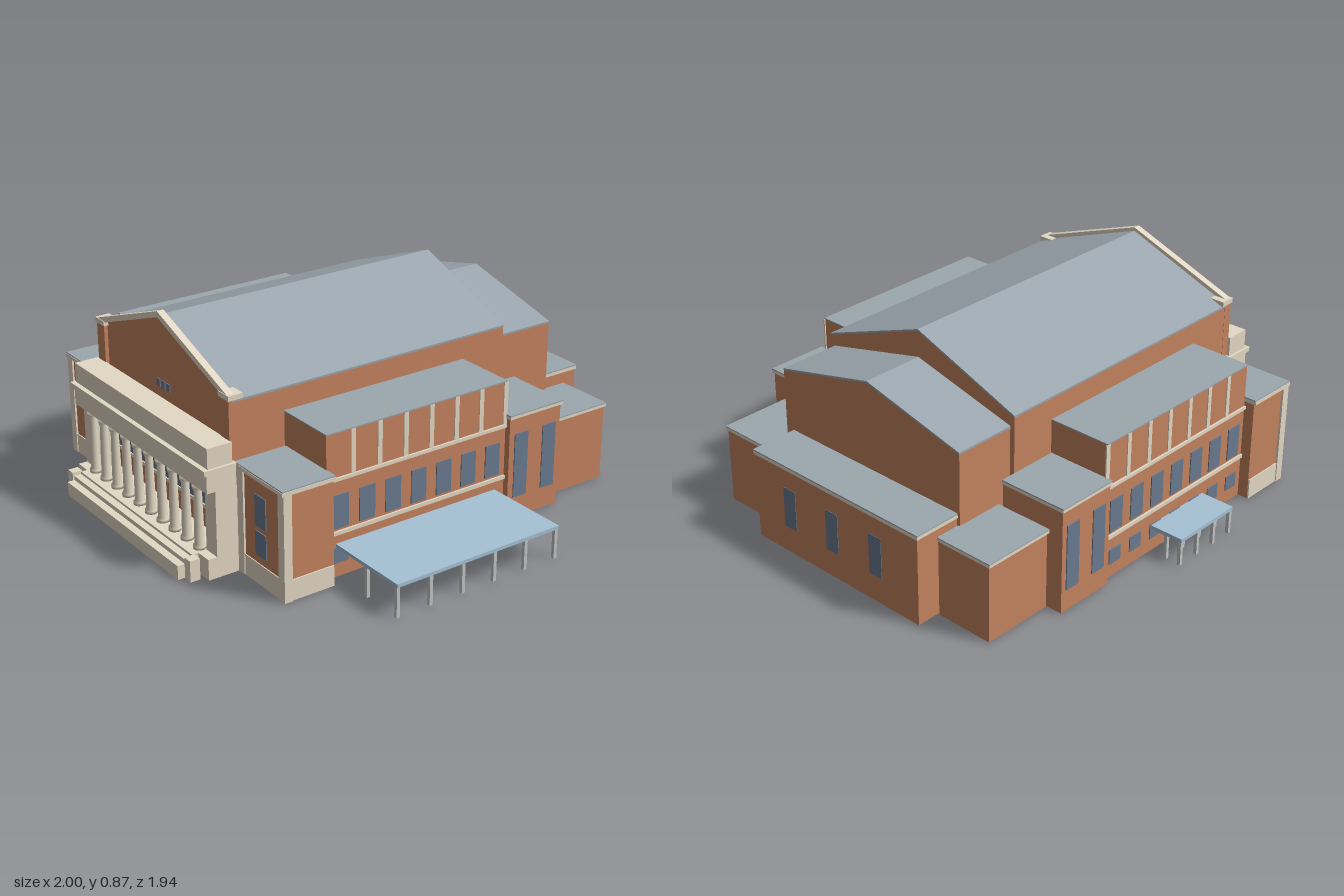
import * as THREE from 'three';

const mat = (name, color) => {
  const m = new THREE.MeshStandardMaterial({ color, side: THREE.DoubleSide });
  m.name = name;
  return m;
};

// Leaves out the triangles that lie on the ground, so the building is an open shell
const withoutFloor = (geo) => {
  const flat = geo.index ? geo.toNonIndexed() : geo;
  const pos = flat.attributes.position, nor = flat.attributes.normal;
  const p = [], n = [];
  for (let i = 0; i < pos.count; i += 3) {
    if (Math.max(pos.getY(i), pos.getY(i + 1), pos.getY(i + 2)) < 1e-4) continue;
    for (let k = i; k < i + 3; k++) {
      p.push(pos.getX(k), pos.getY(k), pos.getZ(k));
      n.push(nor.getX(k), nor.getY(k), nor.getZ(k));
    }
  }
  const out = new THREE.BufferGeometry();
  out.setAttribute('position', new THREE.Float32BufferAttribute(p, 3));
  out.setAttribute('normal', new THREE.Float32BufferAttribute(n, 3));
  return out;
};

export function createModel() {
  const model = new THREE.Group();
  model.name = 'hall';
  const brick = mat('brick', 0xc5835f), stone = mat('stone', 0xe4d9c5), roof = mat('slate roof', 0x9ca7af);
  const glass = mat('window glass', 0x6a7b90), blue = mat('canopy blue', 0xa6c2d6), metal = mat('post metal', 0xc4c6c6);
  const CX = -0.11; // axis of symmetry of the hall

  const add = (name, geo, material) => {
    const mesh = new THREE.Mesh(geo, material);
    mesh.name = name;
    model.add(mesh);
    return mesh;
  };
  // Box from its limits
  const box = (name, m, xa, xb, y0, y1, z0, z1) => {
    const geo = new THREE.BoxGeometry(Math.abs(xb - xa), y1 - y0, z1 - z0);
    geo.translate((xa + xb) / 2, (y0 + y1) / 2, (z0 + z1) / 2);
    return add(name, withoutFloor(geo), m);
  };
  // Box on both flanks, x measured outward from the axis
  const pair = (name, m, u0, u1, ...rest) => {
    for (const s of [-1, 1]) box(name, m, CX + s * u0, CX + s * u1, ...rest);
  };
  // Outline in x-y (x from the axis) pulled along z
  const prism = (name, m, points, z0, z1) => {
    const shape = new THREE.Shape(points.map(([x, y]) => new THREE.Vector2(CX + x, y)));
    const geo = new THREE.ExtrudeGeometry(shape, { depth: z1 - z0, bevelEnabled: false });
    geo.translate(0, 0, z0);
    return add(name, withoutFloor(geo), m);
  };
  const chevron = (w, eave, ridge, t) =>
    [[-w, eave - t], [0, ridge - t], [w, eave - t], [w, eave], [0, ridge], [-w, eave]];
  const gabled = (name, w, eave, ridge, z0, z1) => {
    prism(name + 'Walls', brick, [[-w, 0], [w, 0], [w, eave - 0.008], [0, ridge - 0.008], [-w, eave - 0.008]], z0, z1);
    prism(name + 'Roof', roof, chevron(w + 0.001, eave, ridge, 0.008), z0 - 0.001, z1);
  };

  // Main hall and lower rear hall
  gabled('mainHall', 0.48, 0.678, 0.857, -0.507, 0.752);
  gabled('rearHall', 0.46, 0.63, 0.743, -0.767, -0.507);

  // Front gable: corner piers, sloping coping, returns and small windows
  pair('gablePier', brick, 0.425, 0.481, 0.44, 0.68, 0.73, 0.768);
  prism('gableCoping', stone, chevron(0.48, 0.697, 0.872, 0.024), 0.74, 0.769);
  pair('copingReturn', stone, 0.418, 0.486, 0.68, 0.7, 0.71, 0.772);
  for (const i of [-1, 0, 1])
    box('gableWindow', glass, CX + i * 0.036 - 0.012, CX + i * 0.036 + 0.012, 0.556, 0.588, 0.75, 0.756);

  // Rear block
  box('rearBlock', brick, -0.555, 0.307, 0, 0.36, -0.964, -0.767);
  box('rearCornice', stone, -0.56, 0.312, 0.36, 0.374, -0.969, -0.767);
  box('rearBlockRoof', roof, -0.56, 0.312, 0.374, 0.379, -0.969, -0.767);
  for (const x of [-0.338, -0.11, 0.12])
    box('rearWindow', glass, x - 0.032, x + 0.032, 0.11, 0.28, -0.966, -0.962);

  // Rear corner blocks
  pair('cornerBlock', brick, 0.452, 0.697, 0, 0.315, -0.868, -0.57);
  pair('cornerCornice', stone, 0.452, 0.704, 0.315, 0.327, -0.874, -0.565);
  pair('cornerRoof', roof, 0.452, 0.704, 0.327, 0.331, -0.874, -0.565);

  // Stair blocks with tall windows
  pair('stairBlock', brick, 0.48, 0.765, 0, 0.427, -0.566, -0.31);
  pair('stairCornice', stone, 0.482, 0.772, 0.427, 0.439, -0.572, -0.306);
  pair('stairRoof', roof, 0.482, 0.772, 0.439, 0.444, -0.572, -0.306);
  for (const z of [-0.369, -0.51]) pair('stairWindow', glass, 0.762, 0.769, 0.09, 0.36, z - 0.033, z + 0.033);

  // Side wings: bands, pilaster strips and two rows of windows
  pair('wing', brick, 0.479, 0.742, 0, 0.578, -0.307, 0.53);
  pair('wingRoof', roof, 0.479, 0.745, 0.578, 0.583, -0.307, 0.532);
  pair('wingUpperBand', stone, 0.74, 0.75, 0.39, 0.403, -0.307, 0.532);
  pair('wingLowerBand', stone, 0.74, 0.75, 0.173, 0.188, -0.307, 0.532);
  for (let i = 0; i < 7; i++) {
    const z = 0.468 - i * 0.1187, zp = 0.412 - i * 0.119;
    pair('wingPilaster', stone, 0.74, 0.746, 0.403, 0.578, zp - 0.01, zp + 0.01);
    pair('wingUpperWindow', glass, 0.74, 0.746, 0.198, 0.333, z - 0.035, z + 0.035);
    pair('wingLowerWindow', glass, 0.74, 0.746, 0.057, 0.12, z - 0.032, z + 0.032);
  }

  // Front towers
  pair('tower', brick, 0.48, 0.787, 0, 0.425, 0.53, 0.742);
  pair('towerBase', stone, 0.482, 0.792, 0, 0.084, 0.532, 0.746);
  pair('towerOuterQuoin', stone, 0.758, 0.796, 0, 0.425, 0.715, 0.75);
  pair('towerInnerQuoin', stone, 0.49, 0.533, 0, 0.425, 0.715, 0.75);
  pair('towerCornice', stone, 0.487, 0.797, 0.424, 0.439, 0.527, 0.756);
  pair('towerRoof', roof, 0.487, 0.795, 0.439, 0.444, 0.527, 0.754);
  for (const [y0, y1] of [[0.235, 0.36], [0.117, 0.215]])
    pair('towerWindow', glass, 0.602, 0.672, y0, y1, 0.74, 0.746);

  // Portico: platform, side piers, entablature and attic
  box('platform', stone, CX - 0.495, CX + 0.495, 0, 0.085, 0.75, 0.88);
  pair('porticoPier', stone, 0.422, 0.495, 0.085, 0.35, 0.74, 0.842);
  box('entablature', stone, CX - 0.495, CX + 0.495, 0.35, 0.425, 0.752, 0.877);
  box('porticoCornice', stone, CX - 0.503, CX + 0.503, 0.424, 0.444, 0.752, 0.89);
  box('attic', stone, CX - 0.492, CX + 0.492, 0.444, 0.525, 0.765, 0.87);

  // Colonnade with windows in the bays behind
  const profile = [[0, 0], [0.025, 0], [0.025, 0.012], [0.019, 0.02], [0.0185, 0.1], [0.0155, 0.235], [0.022, 0.25], [0.022, 0.265], [0, 0.265]];
  const columnGeo = new THREE.LatheGeometry(profile.map(([r, y]) => new THREE.Vector2(r, y)), 16);
  for (let i = 0; i < 10; i++) {
    const x = -0.505 + i * 0.0877;
    add('column', columnGeo, stone).position.set(x, 0.085, 0.855);
    if (i < 9) box('porticoWindow', glass, x + 0.009, x + 0.079, 0.187, 0.33, 0.75, 0.757);
  }
  box('porticoSill', stone, CX - 0.39, CX + 0.39, 0.172, 0.187, 0.75, 0.762);

  // Front steps between low end piers
  [[0.969, 0.057], [0.938, 0.075], [0.907, 0.085]].forEach(([z, y]) =>
    box('step', stone, -0.535, 0.315, 0, y, 0.87, z));
  pair('stepPier', stone, 0.43, 0.468, 0, 0.087, 0.9, 0.942);

  // Side canopies on thin posts
  const canopy = (name, x0, x1, y0, y1, z0, z1, postX, count) => {
    box(name, blue, x0, x1, y0, y1, z0, z1);
    for (const x of postX)
      for (let i = 0; i < count; i++) {
        const z = z0 + 0.008 + (i / (count - 1)) * (z1 - z0 - 0.016);
        box(name + 'Post', metal, x - 0.007, x + 0.007, 0, y0, z - 0.007, z + 0.007);
      }
  };
  canopy('leftCanopy', 0.633, 1, 0.123, 0.137, -0.262, 0.49, [0.815, 0.99], 6);
  canopy('rightCanopy', -1, -0.853, 0.102, 0.117, -0.033, 0.284, [-0.99, -0.925], 4);

  return model;
}
